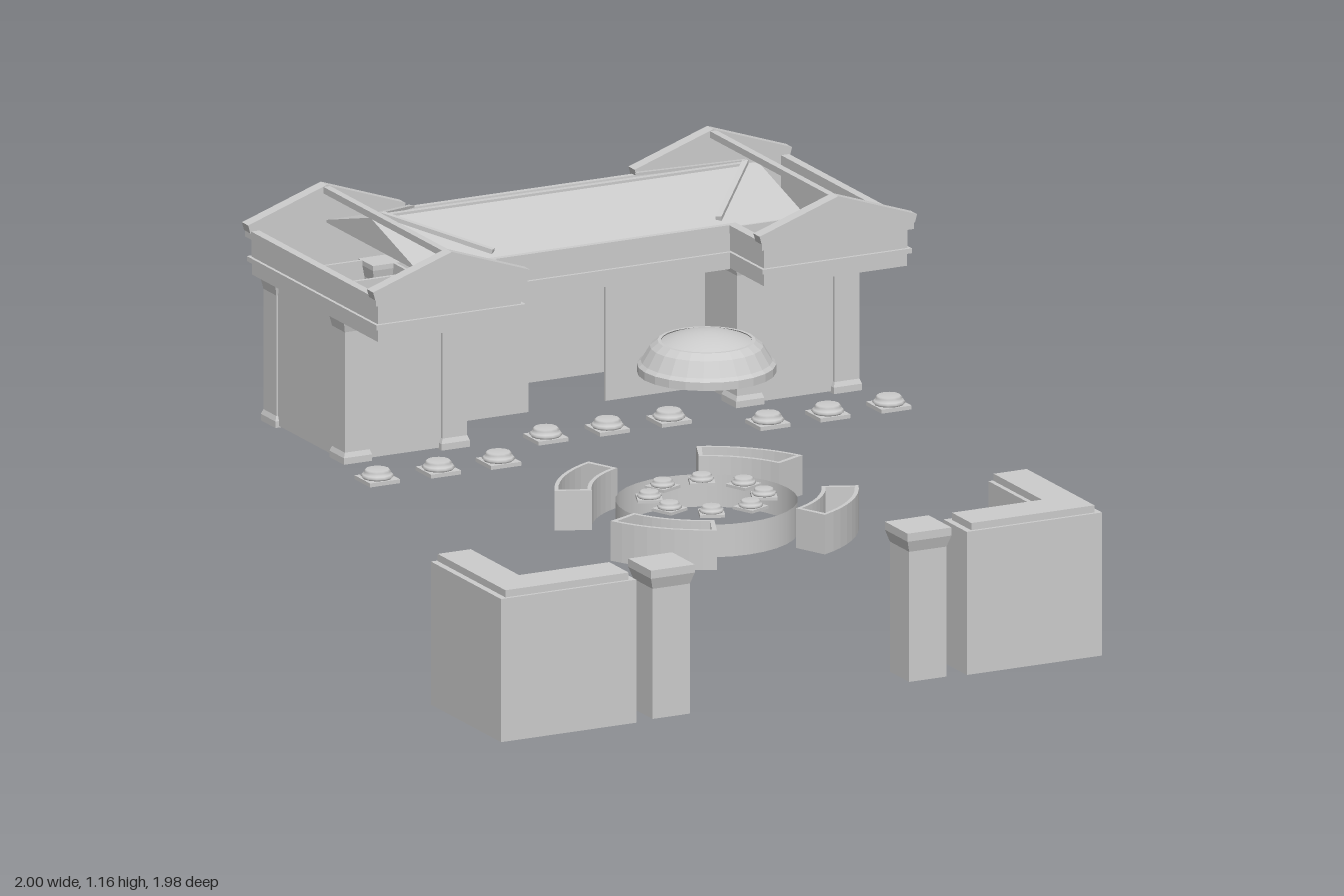
import * as THREE from 'three';

const mat = new THREE.MeshStandardMaterial({ color: 0xcccccc, flatShading: true, side: THREE.DoubleSide });
const smooth = new THREE.MeshStandardMaterial({ color: 0xcccccc, side: THREE.DoubleSide });
const CX = 0.067;            // axis of the building
const RX = 0.047, RZ = 0.285; // centre of the round pavilion

function add(parent, name, geo, material = mat) {
  const m = new THREE.Mesh(geo, material);
  m.name = name;
  parent.add(m);
  return m;
}

// Box given by its limits
function box(parent, name, x0, x1, y0, y1, z0, z1) {
  const g = new THREE.BoxGeometry(x1 - x0, y1 - y0, z1 - z0);
  g.translate((x0 + x1) / 2, (y0 + y1) / 2, (z0 + z1) / 2);
  return add(parent, name, g);
}

// Square pier from a [halfWidth, y] profile
function squarePier(parent, name, profile, x, z) {
  const pts = profile.map(([r, y]) => new THREE.Vector2(r * Math.SQRT2, y));
  const g = new THREE.LatheGeometry(pts, 4, Math.PI / 4);
  g.translate(x, 0, z);
  return add(parent, name, g);
}

// Extrude a plan outline [x, z] upward, optionally leaving out the bottom face
function plan(points, y0, y1, hole, openBottom = false) {
  const toV = ([x, z]) => new THREE.Vector2(x, -z);
  const s = new THREE.Shape(points.map(toV));
  if (hole) s.holes.push(new THREE.Path(hole.map(toV)));
  let g = new THREE.ExtrudeGeometry(s, { depth: y1 - y0, bevelEnabled: false });
  g.rotateX(-Math.PI / 2);
  g.translate(0, y0, 0);
  if (openBottom) {
    const p = g.attributes.position, n = g.attributes.normal, keep = [];
    for (let i = 0; i < p.count; i += 3) {
      if (n.getY(i) > -0.9) for (let k = i; k < i + 3; k++) keep.push(p.getX(k), p.getY(k), p.getZ(k));
    }
    g = new THREE.BufferGeometry();
    g.setAttribute('position', new THREE.Float32BufferAttribute(keep, 3));
    g.computeVertexNormals();
  }
  return g;
}

const rect = (x0, x1, z0, z1) => [[x0, z0], [x1, z0], [x1, z1], [x0, z1]];

// Column base: square plinth with a round moulding
function columnBase(parent, x, y, z, s = 1) {
  const g = new THREE.Group();
  g.name = 'columnBase';
  box(g, 'plinth', -0.05, 0.05, 0, 0.012, -0.05, 0.05);
  const pts = [[0.045, 0.012], [0.05, 0.018], [0.045, 0.024], [0.037, 0.027], [0.04, 0.033], [0.035, 0.038], [0, 0.038]];
  add(g, 'moulding', new THREE.LatheGeometry(pts.map(p => new THREE.Vector2(...p)), 12), smooth);
  g.position.set(x, y, z);
  g.scale.setScalar(s);
  parent.add(g);
  return g;
}

// Thin rectangular bar between two points
function bar(parent, name, a, b, w) {
  const A = new THREE.Vector3(...a), B = new THREE.Vector3(...b);
  const m = add(parent, name, new THREE.BoxGeometry(w, w, A.distanceTo(B)));
  m.position.copy(A).add(B).multiplyScalar(0.5);
  m.lookAt(B);
}

// Entablature bands: [bottom, top, inset]
const bands = [[0.91, 0.95, 0.015], [0.95, 0.965, 0.004], [0.965, 1.025, 0.014], [1.025, 1.05, 0]];

// One wing in coordinates relative to the building axis, on the -x side
function wing(side) {
  const g = new THREE.Group();
  g.name = side < 0 ? 'rightWing' : 'leftWing';
  const X = (v) => side * v; // v = distance from the axis
  const r = (a, b) => [Math.min(X(a), X(b)), Math.max(X(a), X(b))];

  // Room walls, open above and below
  add(g, 'roomWalls', plan(rect(...r(0.46, 0.85), -0.935, -0.435), 0.47, 0.92,
    rect(...r(0.47, 0.84), -0.925, -0.445)));

  // Corner pilasters with spread foot and head
  const prof = [[0, 0.465], [0.047, 0.465], [0.047, 0.485], [0.041, 0.5], [0.041, 0.87], [0.048, 0.905], [0.048, 0.92], [0, 0.92]];
  for (const x of [0.49, 0.815]) for (const z of [-0.465, -0.905]) squarePier(g, 'pilaster', prof, X(x), z);

  // Hollow entablature
  for (const [y0, y1, i] of bands) {
    add(g, 'entablature', plan(rect(...r(0.39 + i, 0.895 - i), -0.99 + i, -0.15 - i), y0, y1,
      rect(...r(0.42, 0.868), -0.95, -0.185)));
  }
  box(g, 'crossBeam', ...r(0.42, 0.868), 0.91, 1.04, -0.38, -0.368);

  // Gable pediments, front and back
  const tri = new THREE.Shape([[-0.255, 1.045], [0.255, 1.045], [0.262, 1.07], [0, 1.16], [-0.262, 1.07]]
    .map(([x, y]) => new THREE.Vector2(x, Math.min(y, 1.16))));
  for (const z of [-0.188, -0.99]) {
    const p = add(g, 'pediment', new THREE.ExtrudeGeometry(tri, { depth: 0.04, bevelEnabled: false }));
    p.position.set(X(0.643), 0, z);
  }
  box(g, 'ridgeBeam', ...r(0.632, 0.654), 1.135, 1.155, -0.96, -0.17);

  // Valley strips where the wing meets the main roof
  for (const z of [-0.4, -0.925]) bar(g, 'valleyStrip', [X(0.605), 1.135, -0.67], [X(0.375), 1.06, z], 0.018);

  // Portico column bases
  for (const x of [0.448, 0.648, 0.851]) columnBase(g, X(x), 0.463, -0.225);
  g.position.x = CX;
  return g;
}

export function createModel() {
  const root = new THREE.Group();
  root.name = 'pavilionComplex';

  // Main building
  root.add(wing(-1), wing(1));
  const main = new THREE.Group();
  main.name = 'mainHall';
  main.position.x = CX;
  root.add(main);
  const roof = new THREE.Shape([[0.36, 1.045], [0.978, 1.045], [0.667, 1.132]].map(p => new THREE.Vector2(...p)));
  const roofGeo = new THREE.ExtrudeGeometry(roof, { depth: 1.29, bevelEnabled: false });
  roofGeo.rotateY(Math.PI / 2);
  roofGeo.translate(-0.645, 0, 0);
  add(main, 'mainRoof', roofGeo);
  box(main, 'roofRidge', -0.605, 0.605, 1.12, 1.137, -0.676, -0.658);
  for (const [y0, y1, i] of bands) {
    box(main, 'frontEntablature', -0.4, 0.4, y0, y1, -0.42, -0.36 - i);
    box(main, 'backEntablature', -0.4, 0.4, y0, y1, -0.978 + i, -0.92);
  }
  box(main, 'backWall', -0.46, 0.46, 0.47, 0.92, -0.935, -0.925);
  for (const s of [-1, 1]) {
    box(main, 'hallWall', Math.min(s * 0.128, s * 0.46), Math.max(s * 0.128, s * 0.46), 0.47, 0.92, -0.66, -0.65);
  }
  for (const x of [-0.205, 0, 0.205]) columnBase(main, x, 0.463, -0.39);

  // Corner walls and gate posts
  const L = [[0.55, 0.835], [0.855, 0.835], [0.855, 0.535], [1, 0.535], [1, 0.985], [0.55, 0.985]];
  const cap = [[0.57, 0.85], [0.87, 0.85], [0.87, 0.54], [0.98, 0.54], [0.98, 0.975], [0.57, 0.975]];
  const post = [[0.062, 0], [0.062, 0.4], [0.073, 0.435], [0.073, 0.46], [0, 0.46]];
  for (const s of [-1, 1]) {
    const flip = (pts) => pts.map(([x, z]) => [s * x, z]);
    add(root, 'cornerWall', plan(flip(L), 0, 0.44, null, true));
    add(root, 'cornerWallCap', plan(flip(cap), 0.44, 0.462, null, true));
    squarePier(root, 'gatePost', post, s * 0.427, 0.91);
  }

  // Curved planters, hollow and open
  const arc = (r0, r1, a0, a1, n = 8) => {
    const pts = [];
    for (let i = 0; i <= n; i++) pts.push([r1, a0 + (a1 - a0) * i / n]);
    for (let i = n; i >= 0; i--) pts.push([r0, a0 + (a1 - a0) * i / n]);
    return pts.map(([r, a]) => [r * Math.cos(a), r * Math.sin(a)]);
  };
  const deg = Math.PI / 180;
  for (let k = 0; k < 4; k++) {
    const m = add(root, 'curvedPlanter', plan(arc(0.34, 0.45, 23.5 * deg, 66.5 * deg), 0.34, 0.462,
      arc(0.352, 0.438, 25.5 * deg, 64.5 * deg)));
    m.position.set(RX, 0, RZ);
    m.rotation.y = k * Math.PI / 2;
  }

  // Round pavilion: ring wall, column bases and dome
  const round = new THREE.Group();
  round.name = 'roundPavilion';
  round.position.set(RX, 0, RZ);
  root.add(round);
  const ring = new THREE.CylinderGeometry(0.27, 0.27, 0.1, 32, 1, true);
  ring.translate(0, 0.377, 0);
  add(round, 'ringWall', ring, smooth);
  for (let i = 0; i < 8; i++) {
    const a = (i + 0.5) * Math.PI / 4;
    columnBase(round, 0.17 * Math.sin(a), 0.43, 0.17 * Math.cos(a), 0.75).rotation.y = a;
  }
  const lathe = (name, pts) => add(round, name,
    new THREE.LatheGeometry(pts.map(p => new THREE.Vector2(...p)), 24), name === 'domeCap' ? smooth : mat);
  lathe('domeCornice', [[0.185, 0.845], [0.185, 0.82], [0.206, 0.82], [0.206, 0.845], [0.195, 0.855], [0.168, 0.9], [0.145, 0.918], [0.135, 0.918]]);
  const domePts = [];
  for (let i = 0; i <= 8; i++) {
    const t = i / 8;
    domePts.push([0.135 * (1 - t), 0.915 + 0.03 * (1 - (1 - t) ** 2)]);
  }
  lathe('domeCap', domePts);
  return root;
}
